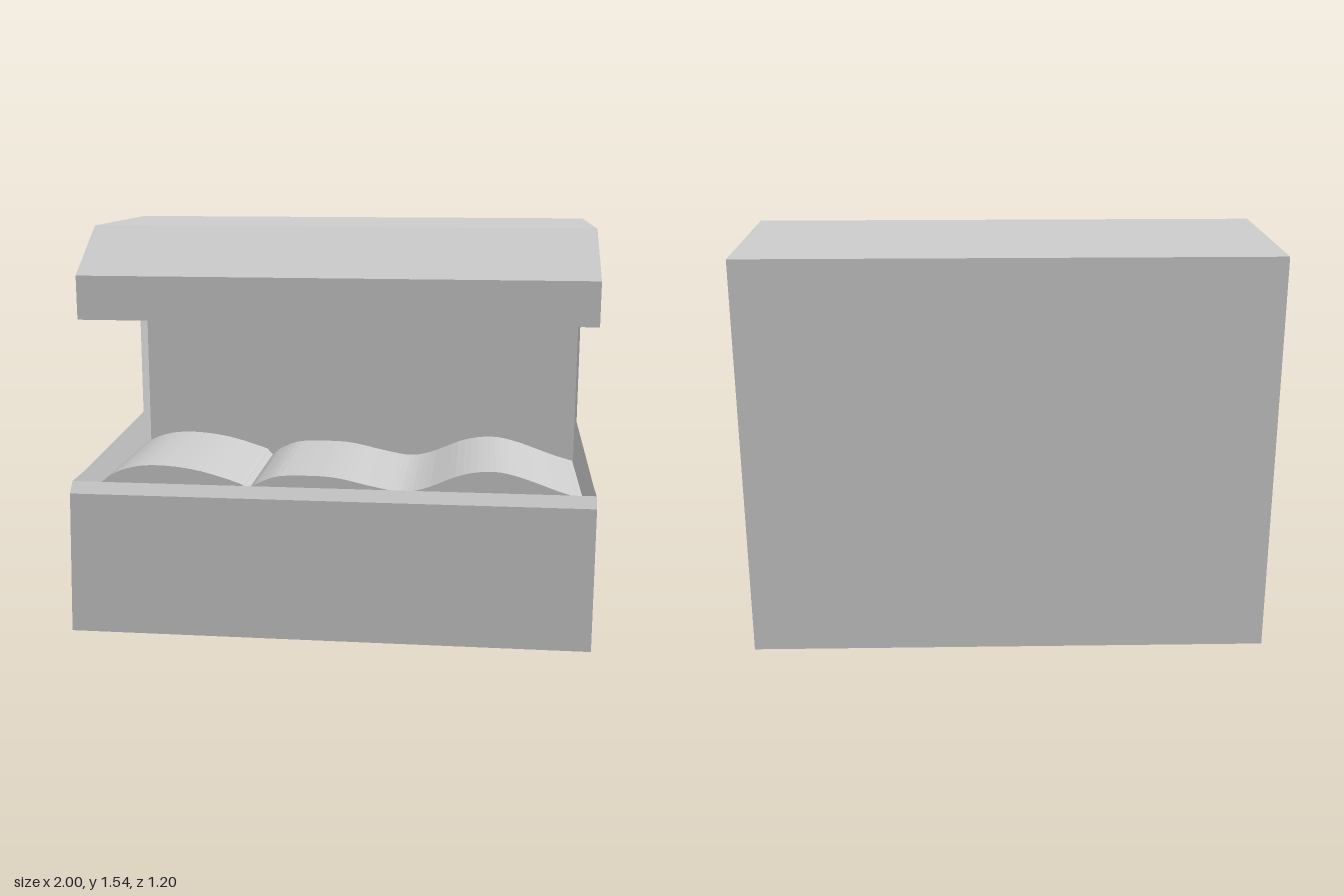
import * as THREE from 'three';

const LEFT = 1, RIGHT = -0.985;
const material = new THREE.MeshStandardMaterial({ color: 0xcccccc, side: THREE.DoubleSide });

// Side outline as [z, y], from the bottom front corner round to the bottom back corner
const SIDE = [
  [0.6, 0], [0.6, 0.555], [0.565, 0.595], [0.42, 0.597], [-0.475, 0.65], [-0.475, 1.2],
  [0.42, 1.2], [0.42, 1.37], [0.15, 1.545], [-0.595, 1.545], [-0.595, 0],
];

function addMesh(group, name, geometry) {
  const mesh = new THREE.Mesh(geometry, material);
  mesh.name = name;
  group.add(mesh);
}

// The bottom front corner on the right side splays out slightly
function cornerX(x, z, y) {
  return x < 0 && y === 0 && z > 0.5 ? -1 : x;
}

// Flat side panel standing at the given x
function sidePanel(x) {
  const shape = new THREE.Shape(SIDE.map(([z, y]) => new THREE.Vector2(-z, y)));
  const geometry = new THREE.ShapeGeometry(shape);
  const p = geometry.attributes.position;
  for (let i = 0; i < p.count; i++) {
    const z = -p.getX(i), y = p.getY(i);
    p.setXYZ(i, cornerX(x, z, y), y, z);
  }
  if (x < 0) geometry.index.array.reverse();
  geometry.computeVertexNormals();
  return geometry;
}

// Thin sheet folded along part of the side outline, spanning the full width
function foldedSheet(profile) {
  const positions = [];
  for (let i = 0; i < profile.length - 1; i++) {
    const [a, b] = [profile[i], profile[i + 1]];
    const corner = (x, [z, y]) => [cornerX(x, z, y), y, z];
    const [p, q, r, s] = [corner(RIGHT, a), corner(LEFT, a), corner(LEFT, b), corner(RIGHT, b)];
    positions.push(...p, ...q, ...r, ...p, ...r, ...s);
  }
  const geometry = new THREE.BufferGeometry();
  geometry.setAttribute('position', new THREE.Float32BufferAttribute(positions, 3));
  geometry.computeVertexNormals();
  return geometry;
}

// Three rounded heaps over a slanting base, extruded front to back
function heapedGoods() {
  const curves = [
    [[-0.935, 0.5], [-0.87, 0.595], [-0.77, 0.643], [-0.65, 0.655], [-0.5, 0.638], [-0.35, 0.595], [-0.325, 0.58]],
    [[-0.31, 0.565], [-0.27, 0.595], [-0.19, 0.625], [-0.06, 0.63], [0.04, 0.623], [0.17, 0.595], [0.28, 0.578],
      [0.37, 0.595], [0.5, 0.648], [0.61, 0.665], [0.71, 0.65], [0.87, 0.595], [0.955, 0.57]],
  ];
  const outline = [new THREE.Vector2(-0.955, 0.264)];
  for (const points of curves) {
    const curve = new THREE.SplineCurve(points.map(([x, y]) => new THREE.Vector2(x, y)));
    outline.push(...curve.getPoints(points.length * 4));
  }
  outline.push(new THREE.Vector2(0.965, 0.16));
  const geometry = new THREE.ExtrudeGeometry(new THREE.Shape(outline), { depth: 0.59, bevelEnabled: false });
  geometry.translate(0, 0, -0.07);
  return geometry;
}

export function createModel() {
  const model = new THREE.Group();
  model.name = 'displayCase';

  // Open shell: side panels, front with slanted lip, canopy and back
  addMesh(model, 'leftPanel', sidePanel(LEFT));
  addMesh(model, 'rightPanel', sidePanel(RIGHT));
  addMesh(model, 'frontPanel', foldedSheet(SIDE.slice(0, 3)));
  addMesh(model, 'canopy', foldedSheet(SIDE.slice(6, 10)));
  addMesh(model, 'backPanel', foldedSheet(SIDE.slice(9)));

  // Goods lying in the case
  addMesh(model, 'heapedGoods', heapedGoods());
  return model;
}
